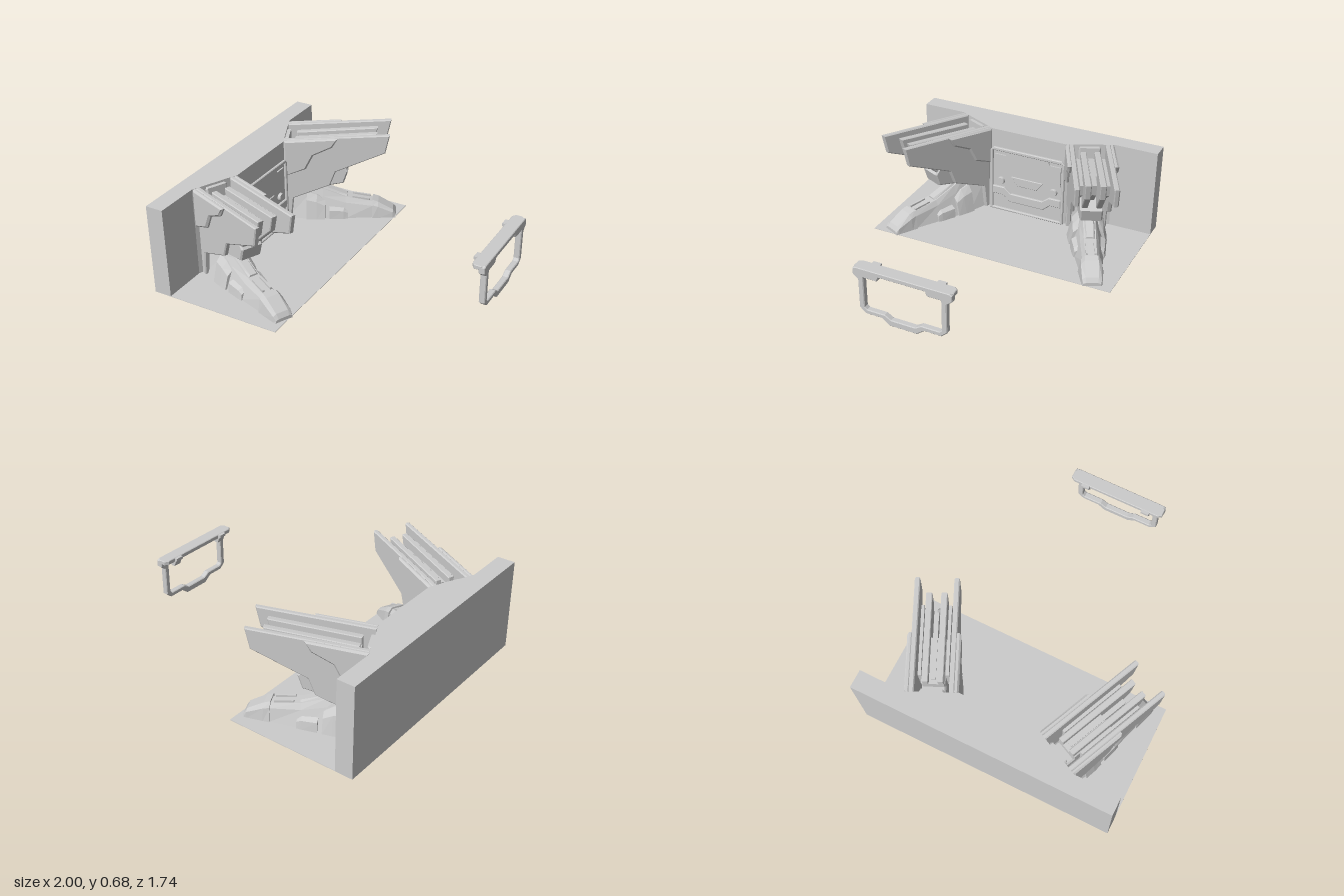
import * as THREE from 'three';

const material = new THREE.MeshStandardMaterial({ color: 0xcccccc, flatShading: true, side: THREE.DoubleSide });

function add(parent, name, geometry, x = 0, y = 0, z = 0) {
  const mesh = new THREE.Mesh(geometry, material);
  mesh.name = name;
  mesh.position.set(x, y, z);
  parent.add(mesh);
  return mesh;
}

const outline = (pts) => new THREE.Shape(pts.map(([x, y]) => new THREE.Vector2(x, y)));

// Flat plate from an outline, with an inset bevel on both faces
function plate(pts, depth, bevel = 0, hole = null) {
  const shape = outline(pts);
  if (hole) shape.holes.push(outline(hole));
  const geometry = new THREE.ExtrudeGeometry(shape, {
    depth: depth - 2 * bevel, bevelEnabled: bevel > 0, bevelThickness: bevel,
    bevelSize: bevel, bevelOffset: -bevel, bevelSegments: 1,
  });
  return geometry.translate(0, 0, bevel);
}

// Mirrors half an outline about x = 0
const mirrored = (half) => [...half, ...half.map(([x, y]) => [-x, y]).reverse()];

// Tapered body from sections [u, half width at base, half width at top, height]
function loft(sections, y0 = 0) {
  const positions = [], index = [];
  for (const [u, base, top, h] of sections) {
    const shoulder = y0 + (h - y0) * 0.75;
    const ring = [[-base, y0], [-top * 1.15, shoulder], [-top * 0.75, h],
      [top * 0.75, h], [top * 1.15, shoulder], [base, y0]];
    for (const [z, y] of ring) positions.push(u, y, z);
  }
  const n = 6, last = (sections.length - 1) * n;
  for (let s = 0; s < sections.length - 1; s++) {
    for (let i = 0; i < n; i++) {
      const a = s * n + i, b = s * n + (i + 1) % n;
      index.push(a, b, a + n, b, b + n, a + n);
    }
  }
  for (let i = 1; i < n - 1; i++) {
    index.push(0, i + 1, i);
    index.push(last, last + i, last + i + 1);
  }
  const geometry = new THREE.BufferGeometry();
  geometry.setAttribute('position', new THREE.Float32BufferAttribute(positions, 3));
  geometry.setIndex(index);
  geometry.computeVertexNormals();
  return geometry;
}

// Upper arm: two stepped cheek plates with rails between them
function upperArm() {
  const arm = new THREE.Group();
  arm.name = 'upperArm';
  const cheek = [[0, 0], [0.035, 0], [0.055, 0.175], [0.31, 0.285], [0.35, 0.39],
    [0.69, 0.545], [0.72, 0.68], [0, 0.625]];
  const armour = [[0, 0.355], [0.147, 0.415], [0.2, 0.52], [0.33, 0.585], [0.37, 0.653], [0, 0.625]];
  for (const side of [-1, 1]) {
    add(arm, 'cheekPlate', plate(cheek, 0.035, 0.007), 0, 0, side * 0.1225 - 0.0175);
    add(arm, 'cheekArmour', plate(armour, 0.035, 0.012), 0, 0, side * 0.148 - 0.0175);
    // Long rails standing proud of the core
    const rail = [[0.07, 0.3], [0.4, 0.36], [0.6, 0.545], [0.63, 0.655], [0.07, 0.605]];
    add(arm, 'rail', plate(rail, 0.04, 0.005), 0, 0, side * 0.047 - 0.02);
    const strip = [[0.12, 0.4], [0.36, 0.42], [0.54, 0.54], [0.56, 0.62], [0.12, 0.58]];
    add(arm, 'railStrip', plate(strip, 0.02), 0, 0, side * 0.085 - 0.01);
  }
  const core = [[0, 0], [0.025, 0], [0.045, 0.19], [0.2, 0.225], [0.4, 0.27], [0.43, 0.36],
    [0.36, 0.44], [0.36, 0.58], [0.07, 0.555], [0.07, 0.5], [0.025, 0.5], [0.025, 0.61], [0, 0.61]];
  add(arm, 'armCore', plate(core, 0.15, 0.01), 0, 0, -0.075);
  add(arm, 'centreSlat', plate([[0.1, 0.4], [0.36, 0.4], [0.5, 0.52], [0.52, 0.6], [0.1, 0.565]], 0.03), 0, 0, -0.015);
  return arm;
}

// Lower arm: faceted ramp tapering to a foot on the floor
function lowerArm() {
  const arm = new THREE.Group();
  arm.name = 'lowerArm';
  add(arm, 'ramp', loft([[0.0, 0.12, 0.06, 0.23], [0.17, 0.125, 0.05, 0.245], [0.25, 0.118, 0.055, 0.205],
    [0.41, 0.1, 0.055, 0.145], [0.6, 0.075, 0.05, 0.115], [0.73, 0.058, 0.045, 0.055], [0.75, 0.05, 0.04, 0.02]]));
  // Raised collars along the flanks
  const collars = [
    [[0.14, 0.138, 0.092, 0.19], [0.21, 0.135, 0.092, 0.17], [0.27, 0.128, 0.09, 0.13]],
    [[0.3, 0.123, 0.1, 0.09], [0.4, 0.112, 0.09, 0.08], [0.43, 0.105, 0.085, 0.06]],
  ];
  for (const collar of collars) add(arm, 'flankPanel', loft(collar));
  add(arm, 'foot', loft([[0.6, 0.085, 0.058, 0.128], [0.64, 0.08, 0.06, 0.115],
    [0.745, 0.068, 0.056, 0.055], [0.765, 0.062, 0.05, 0.025]]));
  // Ridge cover and twin fins on top
  add(arm, 'ridgeCover', loft([[0.16, 0.045, 0.035, 0.257], [0.27, 0.045, 0.035, 0.212],
    [0.42, 0.04, 0.03, 0.155]], 0.1));
  for (const side of [-1, 1]) {
    add(arm, 'ridgeFin', plate([[0.45, 0.1], [0.58, 0.09], [0.58, 0.132], [0.46, 0.148]], 0.014), 0, 0, side * 0.028 - 0.007);
  }
  return arm;
}

// Free-standing frame, with a headrail and hinge tabs on its inner face
function standingFrame() {
  const frame = new THREE.Group();
  frame.name = 'standingFrame';
  const outer = mirrored([[0.09, 0.152], [0.14, 0.19], [0.25, 0.19], [0.29, 0.225], [0.29, 0.42], [0.325, 0.45], [0.325, 0.49], [0.31, 0.5]]);
  const hole = mirrored([[0.08, 0.195], [0.12, 0.22], [0.24, 0.22], [0.255, 0.235], [0.255, 0.44], [0.165, 0.44], [0.15, 0.47]]);
  add(frame, 'frame', plate(outer, 0.04, 0.005, hole), 0.96).rotation.y = Math.PI / 2;
  const bar = mirrored([[0.3, 0.913], [0.325, 0.93], [0.325, 0.975], [0.3, 1.0]]);
  const headrail = add(frame, 'headrail', plate(bar, 0.03, 0.004), 0, 0.47);
  headrail.rotation.set(-Math.PI / 2, 0, -Math.PI / 2);
  headrail.geometry.rotateX(Math.PI);
  headrail.geometry.rotateZ(Math.PI);
  headrail.rotation.set(0, 0, 0);
  // Lay the bar flat: its length runs along z and its thickness along y
  headrail.geometry.applyMatrix4(new THREE.Matrix4().makeBasis(
    new THREE.Vector3(0, 0, 1), new THREE.Vector3(1, 0, 0), new THREE.Vector3(0, 1, 0)));
  headrail.geometry.computeBoundingBox();
  const box = headrail.geometry.boundingBox;
  headrail.geometry.translate(0.9565 - (box.min.x + box.max.x) / 2, -box.min.y, 0);
  for (const side of [-1, 1]) {
    const tab = [[0.893, 0.498], [0.96, 0.498], [0.96, 0.47], [0.945, 0.437], [0.92, 0.437], [0.905, 0.475], [0.893, 0.48]];
    add(frame, 'hingeTab', plate(tab, 0.055), 0, 0, side * 0.215 - 0.0275);
  }
  return frame;
}

// Raised door surround and fittings on the middle of the wall
function door() {
  const group = new THREE.Group();
  group.name = 'door';
  group.position.x = -0.74;
  group.rotation.y = Math.PI / 2;
  add(group, 'doorSurround', plate(mirrored([[0.28, 0.003], [0.28, 0.47], [0.255, 0.495]]), 0.02, 0.005,
    mirrored([[0.26, 0.02], [0.26, 0.47]])));
  add(group, 'doorLip', plate(mirrored([[0.13, 0.085], [0.18, 0.13], [0.26, 0.13], [0.26, 0.19], [0.17, 0.19], [0.12, 0.15]]), 0.02, 0.005));
  add(group, 'doorUpperPanel', plate(mirrored([[0.25, 0.29], [0.25, 0.44], [0.165, 0.44], [0.15, 0.475]]), 0.01));
  add(group, 'doorLatch', plate(mirrored([[0.075, 0.22], [0.12, 0.285]]), 0.012, 0.004));
  for (const side of [-1, 1]) {
    add(group, 'doorBoss', new THREE.CylinderGeometry(0.025, 0.028, 0.02, 20), side * 0.2, 0.235, 0.01).rotation.x = Math.PI / 2;
  }
  return group;
}

export function createModel() {
  const model = new THREE.Group();
  model.name = 'hangarDock';

  // Back wall with a thicker middle bay, and the thin floor
  const half = [[-1, 0.872], [-0.88, 0.872], [-0.88, 0.57], [-0.74, 0.27]];
  const footprint = [...half, ...half.map(([x, z]) => [x, -z]).reverse()];
  add(model, 'backWall', plate(footprint, 0.625)).rotation.x = -Math.PI / 2;
  add(model, 'floor', new THREE.BoxGeometry(0.9, 0.003, 1.744), -0.55, 0.0015, 0);
  model.add(door());

  // Splayed pair of docking arms on each side
  for (const side of [-1, 1]) {
    const pair = new THREE.Group();
    pair.name = side > 0 ? 'frontArms' : 'rearArms';
    pair.position.set(-0.81, 0, side * 0.42);
    pair.rotation.y = -side * THREE.MathUtils.degToRad(25);
    pair.add(upperArm(), lowerArm());
    model.add(pair);
  }

  model.add(standingFrame());
  return model;
}
